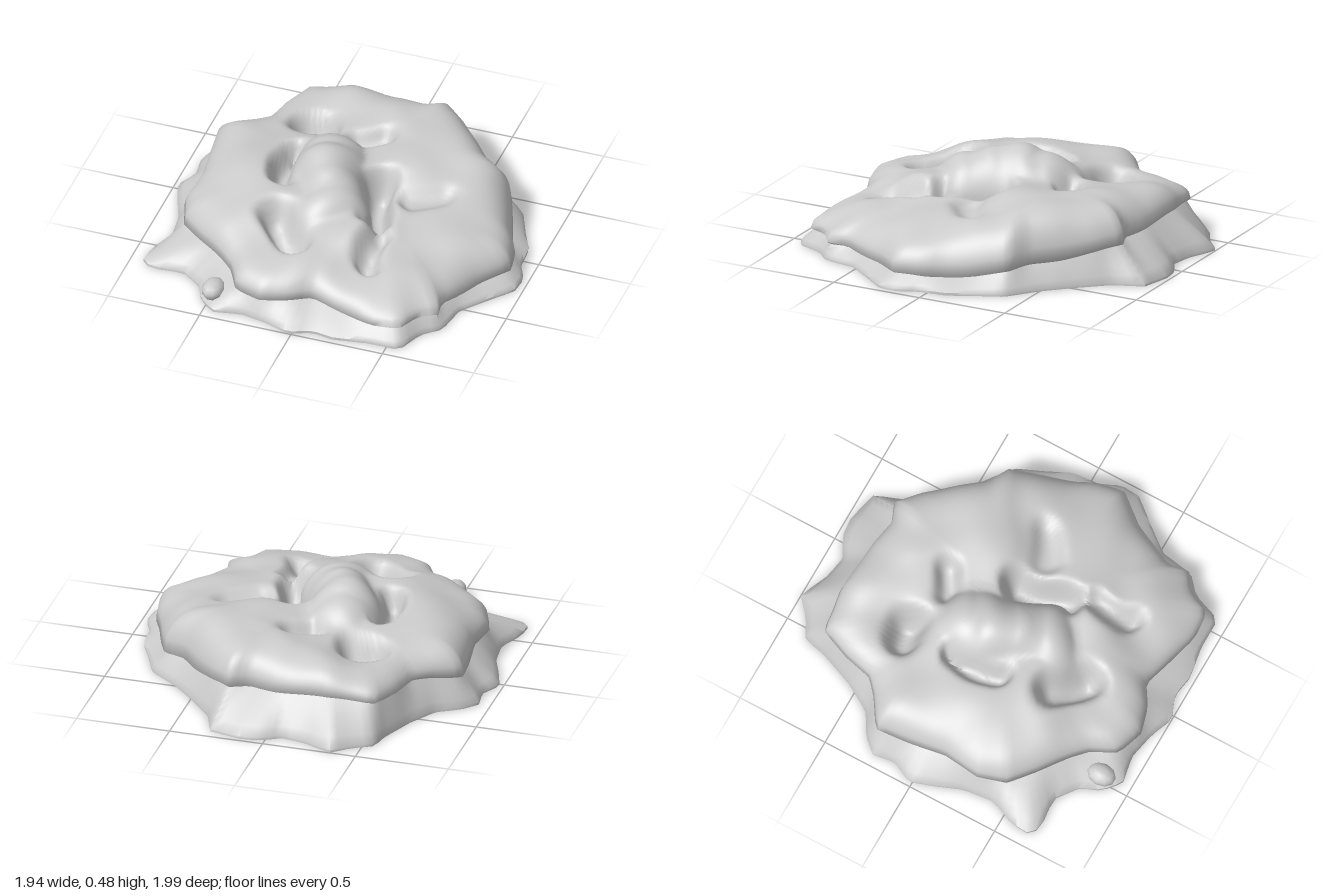
import * as THREE from 'three';
import { toCreasedNormals } from 'three/addons/utils/BufferGeometryUtils.js';

// Outlines as x, z pairs, running clockwise seen from above
const SKIRT = [
  -0.36, -1, -0.2, -0.93, -0.08, -0.91, 0.03, -0.97, 0.13, -0.98, 0.3, -0.94, 0.36, -0.78, 0.5, -0.62,
  0.62, -0.5, 0.78, -0.38, 0.85, -0.22, 0.91, -0.1, 0.92, 0.05, 0.97, 0.15, 0.96, 0.26, 0.86, 0.38,
  0.75, 0.52, 0.72, 0.7, 0.63, 0.78, 0.57, 0.94, 0.4, 0.94, 0.22, 0.97, 0.1, 0.95, -0.02, 1,
  -0.15, 0.95, -0.3, 0.92, -0.45, 0.95, -0.54, 0.87, -0.58, 0.77, -0.7, 0.68, -0.88, 0.7, -0.93, 0.65,
  -0.92, 0.55, -0.86, 0.42, -0.88, 0.25, -0.94, 0.1, -0.98, -0.02, -0.92, -0.13, -0.94, -0.25, -0.87, -0.33,
  -0.75, -0.4, -0.66, -0.55, -0.58, -0.75, -0.56, -0.86, -0.45, -0.92,
];
const BODY = [
  -0.53, -0.77, -0.42, -0.78, -0.3, -0.8, 0, -0.78, 0.15, -0.75, 0.25, -0.79, 0.36, -0.7, 0.5, -0.55,
  0.6, -0.43, 0.72, -0.37, 0.78, -0.22, 0.84, -0.05, 0.89, 0.05, 0.92, 0.2, 0.8, 0.35, 0.73, 0.5,
  0.68, 0.6, 0.7, 0.7, 0.61, 0.76, 0.55, 0.89, 0.4, 0.9, 0.2, 0.85, 0.05, 0.81, -0.06, 0.88,
  -0.2, 0.92, -0.35, 0.87, -0.42, 0.74, -0.5, 0.67, -0.65, 0.56, -0.78, 0.45, -0.83, 0.3, -0.81, 0.1,
  -0.84, -0.1, -0.86, -0.28, -0.72, -0.37, -0.64, -0.44, -0.6, -0.6,
];
// Surface levels of the folds: x, z, height
const LEVELS = [
  -0.45, -0.62, 0.33, -0.2, -0.65, 0.37, 0.1, -0.6, 0.39, 0.25, -0.5, 0.4, 0.4, -0.35, 0.4, 0.3, -0.2, 0.38,
  0.55, -0.1, 0.34, 0.7, 0, 0.3, 0.82, 0.12, 0.26, 0.45, 0.05, 0.28, 0.6, 0.2, 0.29, 0.65, 0.45, 0.23,
  0.4, 0.3, 0.29, 0.45, 0.55, 0.26, 0.5, 0.75, 0.2, 0.25, 0.7, 0.23, 0, 0.65, 0.28, 0.1, 0.45, 0.34,
  -0.2, 0.75, 0.27, -0.3, 0.6, 0.29, -0.35, 0.4, 0.36, -0.5, 0.3, 0.37, -0.65, 0.1, 0.36, -0.7, -0.15, 0.34,
  -0.5, -0.1, 0.36, -0.5, -0.3, 0.33, -0.6, 0.4, 0.32, -0.75, 0.3, 0.29, -0.1, -0.4, 0.34, -0.42, -0.48, 0.28,
  0.1, -0.2, 0.36, 0.25, 0.1, 0.32,
];
// Hollows between the folds: x1, z1, x2, z2, radius, depth
const HOLLOWS = [
  [-0.38, -0.36, -0.3, -0.38, 0.08, 0.2],
  [-0.37, -0.08, -0.36, 0.18, 0.055, 0.14],
  [0.15, 0.02, 0.18, 0.28, 0.075, 0.19],
  [0.27, 0.4, 0.27, 0.58, 0.06, 0.1],
  [-0.26, 0.44, -0.14, 0.54, 0.085, 0.17],
  [-0.08, -0.3, 0.04, -0.34, 0.06, 0.08],
  [0.34, 0.06, 0.48, -0.02, 0.07, 0.05],
];
// Central knot: x, z, top height along its spine
const KNOT = [[-0.18, -0.12, 0.44], [-0.13, 0, 0.48], [-0.09, 0.12, 0.46], [-0.05, 0.26, 0.42]];
const KNOT_RADIUS = 0.2;

const SIDES = 144;

// Distance from the centre to an outline along an angle
function reach(outline, angle) {
  const dx = Math.cos(angle), dz = Math.sin(angle), n = outline.length;
  let best = 0;
  for (let i = 0; i < n; i += 2) {
    const ax = outline[i], az = outline[i + 1];
    const ex = outline[(i + 2) % n] - ax, ez = outline[(i + 3) % n] - az;
    const det = dx * ez - dz * ex;
    if (Math.abs(det) < 1e-9) continue;
    const u = (ax * dz - az * dx) / det;
    if (u >= -1e-6 && u <= 1 + 1e-6) best = Math.max(best, (ax * ez - az * ex) / det);
  }
  return best;
}

// Distance to a segment, and the position along it
function toSegment(x, z, ax, az, bx, bz) {
  const ex = bx - ax, ez = bz - az;
  const k = THREE.MathUtils.clamp(((x - ax) * ex + (z - az) * ez) / (ex * ex + ez * ez), 0, 1);
  return [Math.hypot(x - ax - ex * k, z - az - ez * k), k];
}

function foldHeight(x, z) {
  let sum = 0, weight = 0;
  for (let i = 0; i < LEVELS.length; i += 3) {
    const w = Math.exp(-((x - LEVELS[i]) ** 2 + (z - LEVELS[i + 1]) ** 2) / 0.02) + 1e-7;
    sum += w * LEVELS[i + 2];
    weight += w;
  }
  let h = sum / weight + 0.012 * Math.sin(13 * x + 2) * Math.sin(11 * z + 0.5);
  // A slight wobble keeps the hollows and knot irregular
  const wx = x + 0.02 * Math.sin(14 * z + 1), wz = z + 0.02 * Math.sin(12 * x);
  for (const [ax, az, bx, bz, r, depth] of HOLLOWS) {
    const [d] = toSegment(wx, wz, ax, az, bx, bz);
    h -= depth * Math.exp(-((d / r) ** 3));
  }
  let knot = 0;
  for (let i = 0; i < KNOT.length - 1; i++) {
    const a = KNOT[i], b = KNOT[i + 1];
    const [d, k] = toSegment(wx, wz, a[0], a[1], b[0], b[1]);
    const top = THREE.MathUtils.lerp(a[2], b[2], THREE.MathUtils.smoothstep(k, 0, 1));
    knot = Math.max(knot, 0.2 + (top - 0.2) * Math.max(0, 1 - (d / KNOT_RADIUS) ** 2) ** 0.55);
  }
  // Blend the knot softly into the folds around it
  return knot > 0.2 ? (h + knot + Math.hypot(h - knot, 0.025)) / 2 : h;
}

// Height where the body meets the skirt, higher at the back and right
const seam = (a) => 0.11 - 0.035 * Math.cos(a) + 0.09 * Math.max(0, -Math.sin(a)) ** 1.2 + 0.008 * Math.sin(9 * a);

// Skin a set of rings, from below or outside towards the top centre;
// each ring maps an angle to [radius, y]
function skin(rings, crease) {
  const pos = [], index = [];
  for (const ring of rings) {
    for (let i = 0; i < SIDES; i++) {
      const a = (i / SIDES) * Math.PI * 2;
      const [r, y] = ring(a);
      pos.push(Math.cos(a) * r, y, Math.sin(a) * r);
    }
  }
  for (let j = 0; j < rings.length - 1; j++) {
    for (let i = 0; i < SIDES; i++) {
      const a = j * SIDES + i, b = j * SIDES + ((i + 1) % SIDES);
      index.push(a, a + SIDES, b, b, a + SIDES, b + SIDES);
    }
  }
  const geometry = new THREE.BufferGeometry();
  geometry.setAttribute('position', new THREE.Float32BufferAttribute(pos, 3));
  geometry.setIndex(index);
  return toCreasedNormals(geometry, crease);
}

export function createModel() {
  const group = new THREE.Group();
  const material = new THREE.MeshStandardMaterial({ color: 0xcccccc });
  const add = (name, geometry) => {
    const mesh = new THREE.Mesh(geometry, material);
    mesh.name = name;
    group.add(mesh);
    return mesh;
  };

  // Spread skirt with a flat underside, climbing to the foot of the body
  const slope = (t) => (a) => {
    const outer = reach(SKIRT, a), inner = Math.min(reach(BODY, a) * 0.97, outer - 0.02);
    return [THREE.MathUtils.lerp(outer, inner, t), 0.014 + (seam(a) - 0.014) * t ** 0.9];
  };
  add('skirt', skin([
    () => [0.0001, 0],
    (a) => [reach(SKIRT, a), 0],
    ...[0, 0.2, 0.4, 0.6, 0.8, 1].map(slope),
  ], 0.9));

  // Folded body: rounded rim tucked into the skirt, then rings up to the middle
  const STEPS = 56;
  const bodyRings = [(a) => [reach(BODY, a) * 0.96, seam(a) - 0.02]];
  for (let j = 0; j <= STEPS; j++) {
    const t = Math.max(0.0002, Math.sin((1 - j / STEPS) * Math.PI * 0.5) * 0.4 + (1 - j / STEPS) * 0.6);
    bodyRings.push((a) => {
      const r = reach(BODY, a) * t, s = seam(a);
      const h = foldHeight(Math.cos(a) * r, Math.sin(a) * r);
      return [r, s + (h - s) * Math.sqrt(Math.max(0, 1 - t ** 8))];
    });
  }
  add('foldedBody', skin(bodyRings, 1.4));

  // Small nub half sunk into the skirt at the front
  const nub = add('frontNub', new THREE.SphereGeometry(1, 10, 7));
  nub.position.set(-0.48, 0.065, 0.84);
  nub.scale.set(0.06, 0.05, 0.08);
  return group;
}
